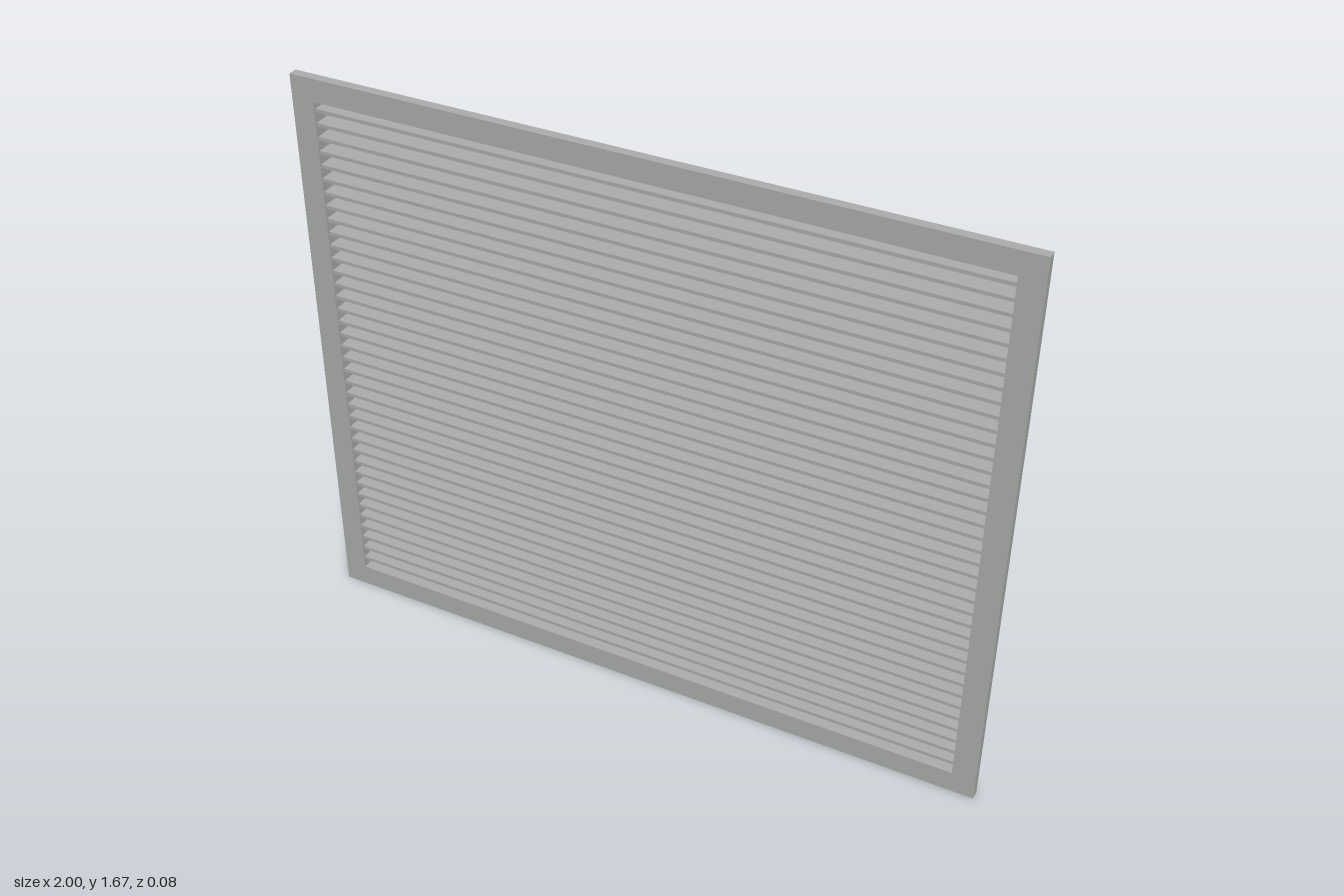
import * as THREE from 'three';

const W = 2, H = 1.667;               // flange size
const BACK = -0.0375, SEAT = 0.011, FRONT = 0.0375;
const OPEN_X = 0.934, OPEN_Y0 = 0.065, OPEN_Y1 = 1.602;

const rect = (P, x, y0, y1) => {
  const p = new P();
  p.moveTo(-x, y0);
  p.lineTo(x, y0);
  p.lineTo(x, y1);
  p.lineTo(-x, y1);
  p.closePath();
  return p;
};

// Rectangular ring around the opening, extruded from z0 to z1
function ring(name, x, y0, y1, z0, z1, material) {
  const shape = rect(THREE.Shape, x, y0, y1);
  shape.holes.push(rect(THREE.Path, OPEN_X, OPEN_Y0, OPEN_Y1));
  const geo = new THREE.ExtrudeGeometry(shape, { depth: z1 - z0, bevelEnabled: false });
  geo.translate(0, 0, z0);
  const mesh = new THREE.Mesh(geo, material);
  mesh.name = name;
  return mesh;
}

export function createModel() {
  const model = new THREE.Group();
  model.name = 'ventGrille';
  const metal = new THREE.MeshStandardMaterial({ color: 0xacaeac });
  metal.name = 'greyMetal';

  // Wide front flange and the narrower collar behind it
  model.add(ring('frontFlange', W / 2, 0, H, SEAT, FRONT, metal));
  model.add(ring('rearCollar', 0.944, 0.058, 1.61, BACK, SEAT, metal));

  // Horizontal slats
  const slats = new THREE.Group();
  slats.name = 'slats';
  const slatGeo = new THREE.BoxGeometry(OPEN_X * 2, 0.01, 0.064);
  const count = 38, first = 0.098, last = 1.577;
  for (let i = 0; i < count; i++) {
    const slat = new THREE.Mesh(slatGeo, metal);
    slat.name = 'slat';
    slat.position.set(0, first + (last - first) * i / (count - 1), 0.002);
    slats.add(slat);
  }
  model.add(slats);

  // Vertical stiffeners threaded through the slats near the back
  const barGeo = new THREE.BoxGeometry(0.012, OPEN_Y1 - OPEN_Y0, 0.012);
  for (const x of [-0.533, 0, 0.533]) {
    const bar = new THREE.Mesh(barGeo, metal);
    bar.name = 'verticalBar';
    bar.position.set(x, (OPEN_Y0 + OPEN_Y1) / 2, -0.02);
    model.add(bar);
  }
  return model;
}
